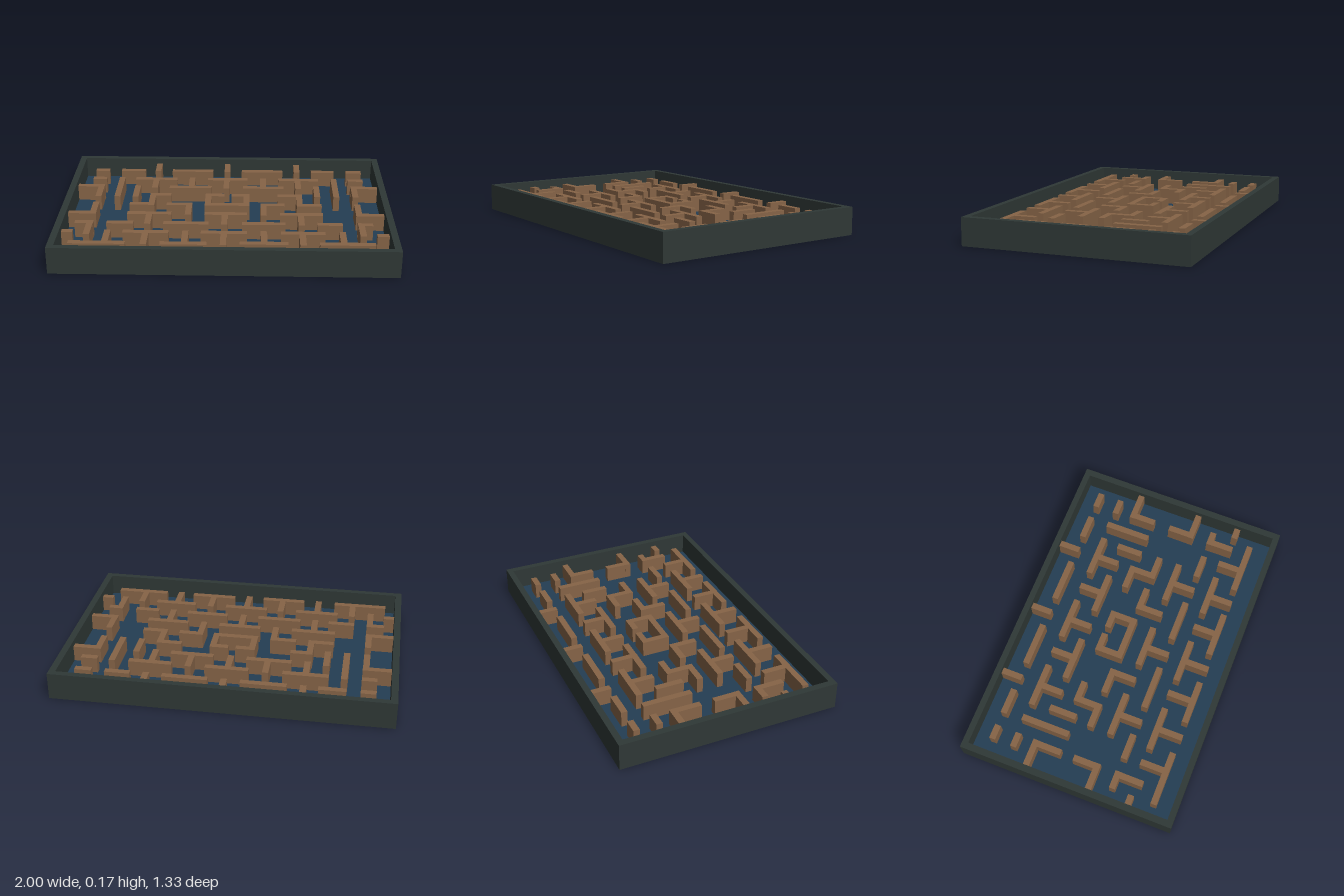
import * as THREE from 'three';

const T = 0.038;                  // maze wall thickness
const WALL_TOP = 0.13;
const FRAME_H = 0.165;

// Walls running along x: z -> list of [x0, x1]
const alongX = [
  [-0.515, [[-0.88, -0.79], [-0.71, -0.55], [-0.37, -0.10], [0.09, 0.36], [0.55, 0.70], [0.78, 0.88]]],
  [-0.38, [[-0.88, -0.79], [-0.60, -0.33], [-0.13, 0.13], [0.33, 0.59], [0.78, 0.88]]],
  [-0.265, [[-0.96, -0.79], [0.79, 0.96]]],
  [-0.255, [[-0.37, -0.10], [0.10, 0.36]]],
  [-0.135, [[-0.484, -0.35], [-0.134, -0.015], [0.03, 0.144], [0.32, 0.474]]],
  [0, [[-0.60, -0.446], [-0.37, -0.211], [-0.134, 0.144], [0.211, 0.36], [0.436, 0.59]]],
  [0.13, [[-0.96, -0.79], [-0.60, -0.33], [-0.13, 0.13], [0.33, 0.59], [0.79, 0.96]]],
  [0.26, [[-0.90, -0.79], [-0.71, -0.55], [-0.37, -0.10], [0.10, 0.36], [0.55, 0.70], [0.79, 0.88]]],
  [0.38, [[-0.96, -0.895], [-0.60, -0.33], [-0.14, 0.13], [0.33, 0.59]]],
  [0.395, [[0.89, 0.96]]],
  [0.52, [[-0.90, -0.57], [-0.37, -0.10]]],
  [0.51, [[0.09, 0.37], [0.55, 0.87]]],
];

// Walls running along z: x -> list of [z0, z1]
const alongZ = [
  [-0.81, [[-0.284, -0.10], [-0.019, 0.149], [0.241, 0.42]]],
  [-0.69, [[-0.40, -0.10], [0.36, 0.52]]],
  [-0.575, [[-0.27, -0.10]]],
  [-0.465, [[-0.63, -0.50], [-0.38, -0.235], [-0.154, 0.019], [0.13, 0.28], [0.38, 0.54]]],
  [-0.23, [[-0.40, -0.235], [-0.019, 0.149], [0.36, 0.52]]],
  [-0.115, [[-0.154, 0.019]]],
  [-0.005, [[-0.63, -0.50], [-0.38, -0.235], [0.13, 0.28], [0.38, 0.54]]],
  [0.125, [[-0.154, 0.019]]],
  [0.23, [[-0.40, -0.235], [-0.019, 0.149], [0.36, 0.51]]],
  [0.455, [[-0.63, -0.50], [-0.38, -0.235], [-0.154, 0.019], [0.13, 0.28], [0.38, 0.53]]],
  [0.57, [[-0.28, -0.12]]],
  [0.69, [[-0.40, -0.12], [0.36, 0.51]]],
  [0.81, [[-0.284, -0.12], [-0.019, 0.149], [0.241, 0.41]]],
];

export function createModel() {
  const frameMat = new THREE.MeshStandardMaterial({ color: 0x2f3836 });
  frameMat.name = 'dark frame';
  const floorMat = new THREE.MeshStandardMaterial({ color: 0x243e54 });
  floorMat.name = 'navy floor';
  const wallMat = new THREE.MeshStandardMaterial({ color: 0x866447 });
  wallMat.name = 'brown wood';

  const model = new THREE.Group();
  model.name = 'mazeTray';

  // Box given by its x, y and z ranges
  const box = (parent, name, mat, [x0, x1], [y0, y1], [z0, z1]) => {
    const mesh = new THREE.Mesh(new THREE.BoxGeometry(x1 - x0, y1 - y0, z1 - z0), mat);
    mesh.position.set((x0 + x1) / 2, (y0 + y1) / 2, (z0 + z1) / 2);
    mesh.name = name;
    parent.add(mesh);
  };

  // Open rectangular rim
  const rect = (Path, x, z) => {
    const p = new Path();
    p.moveTo(-x, -z);
    p.lineTo(x, -z);
    p.lineTo(x, z);
    p.lineTo(-x, z);
    p.closePath();
    return p;
  };
  const rim = rect(THREE.Shape, 1, 0.665);
  rim.holes.push(rect(THREE.Path, 0.96, 0.628));
  const rimGeo = new THREE.ExtrudeGeometry(rim, { depth: FRAME_H, bevelEnabled: false });
  rimGeo.rotateX(-Math.PI / 2);
  const frame = new THREE.Mesh(rimGeo, frameMat);
  frame.name = 'frame';
  model.add(frame);

  // Floor set a little above the bottom edge of the frame
  box(model, 'floor', floorMat, [-0.96, 0.96], [0.018, 0.034], [-0.628, 0.628]);

  // Maze walls, passing down through the floor
  const walls = new THREE.Group();
  walls.name = 'mazeWalls';
  model.add(walls);
  const ySpan = [0.001, WALL_TOP];
  const across = (c) => [c - T / 2, c + T / 2];
  for (const [z, spans] of alongX)
    for (const span of spans) box(walls, 'wallAlongX', wallMat, span, ySpan, across(z));
  for (const [x, spans] of alongZ)
    for (const span of spans) box(walls, 'wallAlongZ', wallMat, across(x), ySpan, span);

  return model;
}
